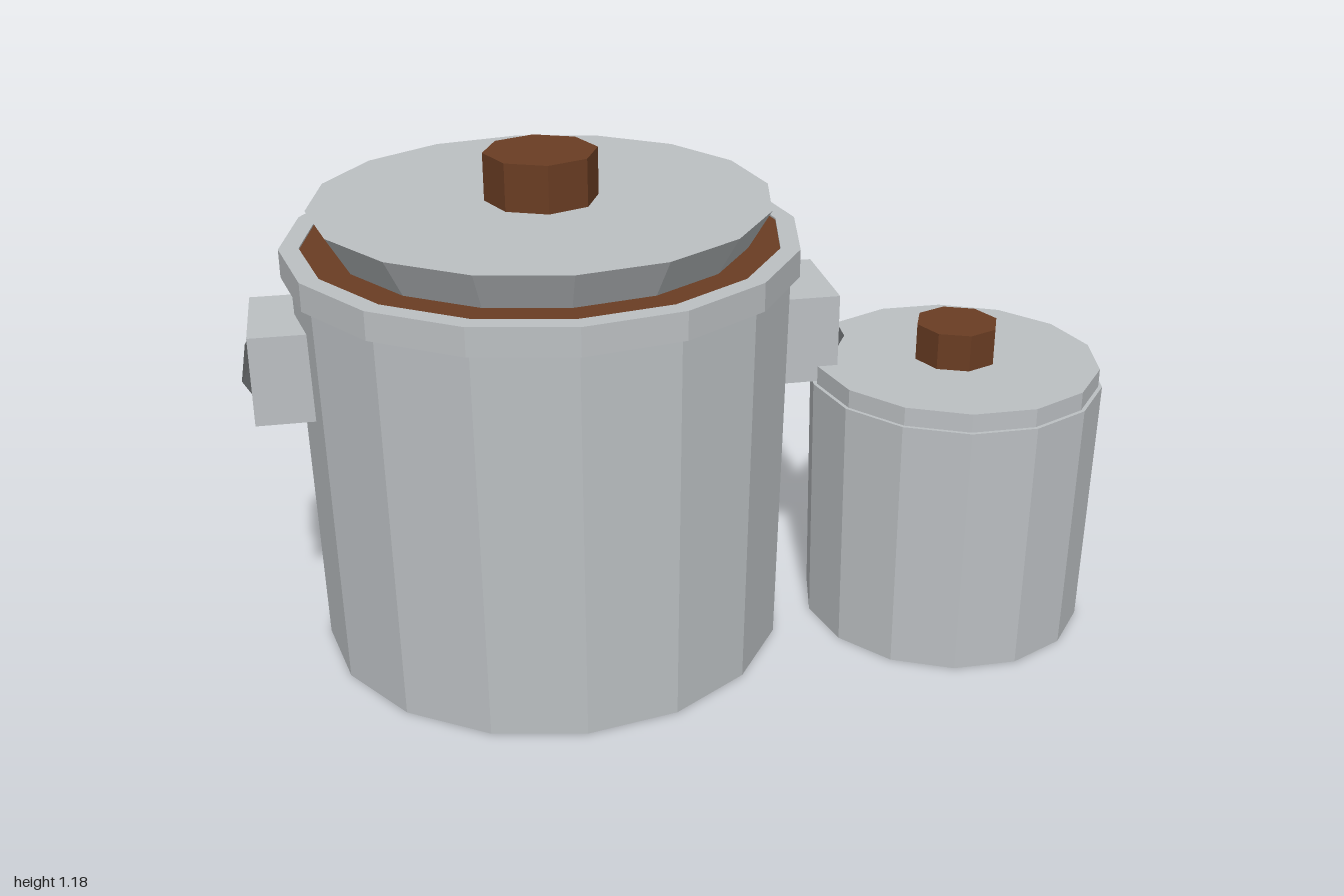
import * as THREE from 'three';

export function createModel() {
  const model = new THREE.Group();
  const material = (name, color) => {
    const m = new THREE.MeshStandardMaterial({ color, flatShading: true });
    m.name = name;
    return m;
  };
  const metal = material('metal grey', 0xbcc0c3);
  const wood = material('wood brown', 0x6a3d23);
  const dark = material('dark grey', 0x5e6062);

  const add = (parent, name, geometry, mat, x = 0, y = 0, z = 0) => {
    const mesh = new THREE.Mesh(geometry, mat);
    mesh.name = name;
    mesh.position.set(x, y, z);
    parent.add(mesh);
    return mesh;
  };
  // Faceted drum between two heights, with a corner on the +x axis
  const drum = (parent, name, mat, sides, rBottom, rTop, y0, y1) =>
    add(parent, name, new THREE.CylinderGeometry(rTop, rBottom, y1 - y0, sides, 1, false, Math.PI / 2),
      mat, 0, (y0 + y1) / 2, 0);

  // Large pot
  const large = new THREE.Group();
  large.name = 'largePot';
  large.position.x = -0.31;
  model.add(large);
  drum(large, 'largeBody', metal, 16, 0.55, 0.57, 0, 0.95);

  // Open rim ring around the brown filling
  const rimProfile = [[0.545, 0.92], [0.59, 0.92], [0.59, 0.985], [0.545, 0.985], [0.545, 0.92]]
    .map(([r, y]) => new THREE.Vector2(r, y));
  add(large, 'rim', new THREE.LatheGeometry(rimProfile, 16), metal);
  drum(large, 'filling', wood, 16, 0.546, 0.546, 0.94, 0.981);
  drum(large, 'largeLid', metal, 16, 0.472, 0.525, 0.98, 1.07);
  drum(large, 'largeKnob', wood, 8, 0.13, 0.13, 1.07, 1.18);

  // Side handles: a block with a six-sided grip bar set in its outer face
  for (const side of [-1, 1]) {
    const handle = new THREE.Group();
    handle.name = side > 0 ? 'leftHandle' : 'rightHandle';
    large.add(handle);
    add(handle, 'handleBlock', new THREE.BoxGeometry(0.17, 0.21, 0.26), metal, side * 0.585, 0.725, 0);
    const bar = add(handle, 'gripBar',
      new THREE.CylinderGeometry(0.035, 0.035, 0.22, 6, 1, false, Math.PI / 2), dark, side * 0.655, 0.722, 0);
    bar.rotation.x = Math.PI / 2;
  }

  // Small pot
  const small = new THREE.Group();
  small.name = 'smallPot';
  small.position.set(0.65, 0, 0.13);
  model.add(small);
  drum(small, 'smallBody', metal, 14, 0.338, 0.347, 0, 0.613);
  drum(small, 'smallLid', metal, 14, 0.338, 0.338, 0.6, 0.657);
  drum(small, 'smallKnob', wood, 8, 0.098, 0.098, 0.657, 0.745);

  return model;
}
